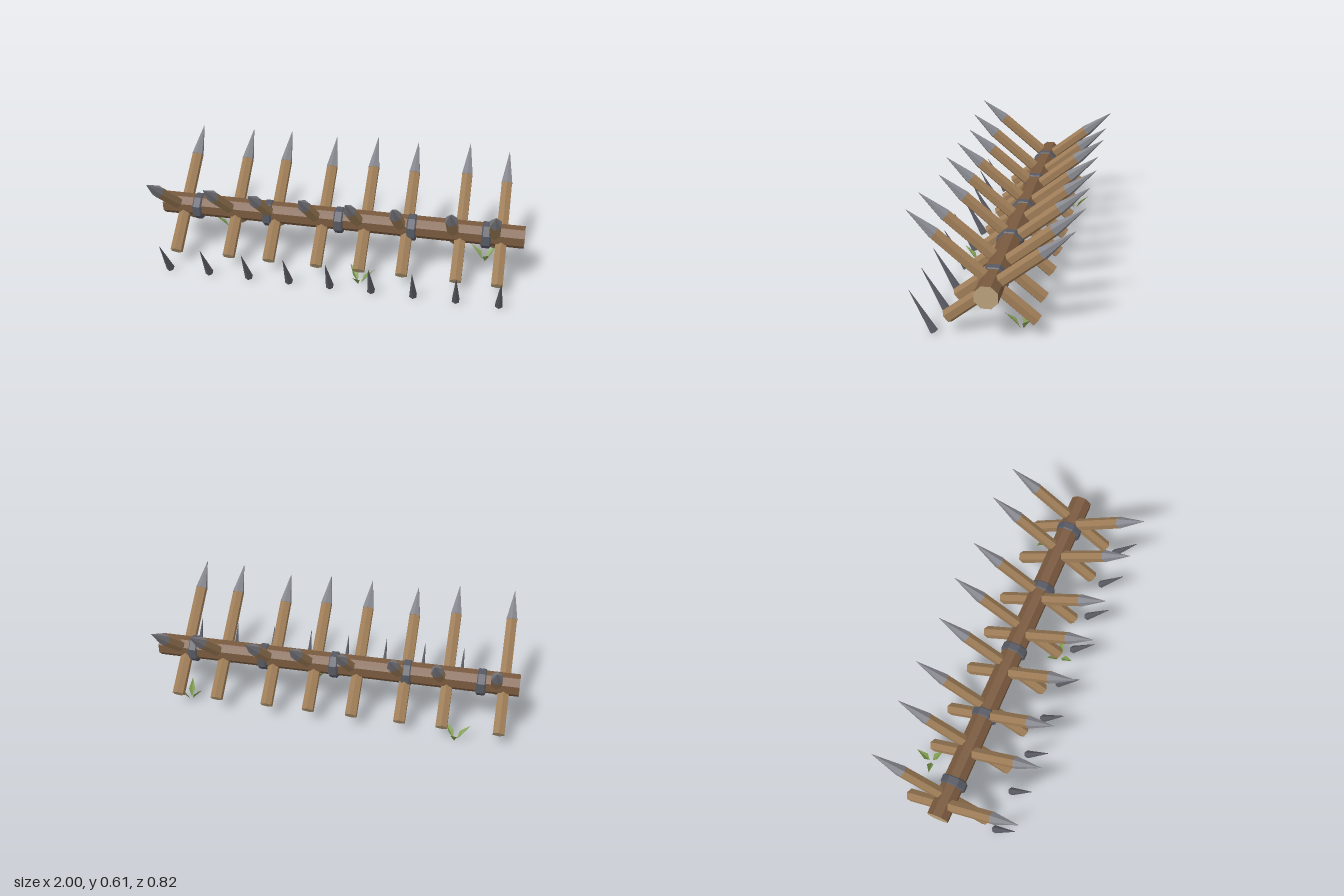
import * as THREE from 'three';

const mat = (name, color, extra = {}) => {
  const m = new THREE.MeshStandardMaterial({ color, flatShading: true, ...extra });
  m.name = name;
  return m;
};

export function createModel() {
  const beamWood = mat('dark beam wood', 0x7a5a3f);
  const stakeWood = mat('stake wood', 0x9e7d57);
  const endGrain = mat('end grain', 0xbaa27c);
  const tipSteel = mat('tip steel', 0x86868e);
  const spikeIron = mat('spike iron', 0x5c5c65);
  const bandIron = mat('band iron', 0x575963);
  const grass = mat('grass', 0x7f9c4f, { side: THREE.DoubleSide });

  const root = new THREE.Group();
  root.name = 'spikedBarricade';
  const UP = new THREE.Vector3(0, 1, 0);
  const add = (name, geo, material, parent = root) => {
    const m = new THREE.Mesh(geo, material);
    m.name = name;
    parent.add(m);
    return m;
  };

  // Tapered round part running from point a to point b
  const rod = (name, a, b, rA, rB, sides, material, parent, open = false) => {
    const dir = b.clone().sub(a);
    const m = add(name, new THREE.CylinderGeometry(rB, rA, dir.length(), sides, 1, open), material, parent);
    m.position.copy(a).add(b).multiplyScalar(0.5);
    m.quaternion.setFromUnitVectors(UP, dir.normalize());
    return m;
  };

  // Main beam, octagonal with pale ends
  const beam = add('beam', new THREE.CylinderGeometry(0.061, 0.061, 2, 8, 1, false, Math.PI / 8),
    [beamWood, endGrain, endGrain]);
  beam.rotation.z = Math.PI / 2;
  beam.position.set(0, 0.269, -0.008);

  // Chamfered iron bands around the beam
  const bandProfile = [[0.055, -0.026], [0.064, -0.026], [0.073, -0.018],
    [0.073, 0.018], [0.064, 0.026], [0.055, 0.026]].map(p => new THREE.Vector2(...p));
  const bandGeo = new THREE.LatheGeometry(bandProfile, 8, Math.PI / 8);
  for (const x of [-0.8, -0.4, 0, 0.4, 0.8]) {
    const band = add('ironBand', bandGeo, bandIron);
    band.rotation.z = Math.PI / 2;
    band.position.set(x, 0.263, -0.006);
  }

  // Crossed stakes: position across, then height and depth of the steel point
  const stake = (name, [x, y, z], foot, tipLength) => {
    const g = new THREE.Group();
    g.name = name;
    root.add(g);
    const tip = new THREE.Vector3(x, y, z);
    const base = new THREE.Vector3(x, foot[0], foot[1]);
    const neck = tip.clone().lerp(base, tipLength / tip.distanceTo(base));
    rod('shaft', base, neck, 0.035, 0.032, 6, [stakeWood, endGrain, endGrain], g);
    rod('steelTip', neck, tip, 0.0335, 0.001, 6, tipSteel, g);
  };
  const frontTips = [[-0.92, 0.605, 0.408], [-0.62, 0.605, 0.403], [-0.395, 0.583, 0.38], [-0.133, 0.592, 0.388],
    [0.105, 0.592, 0.39], [0.337, 0.583, 0.372], [0.623, 0.6, 0.397], [0.843, 0.605, 0.395]];
  const backTips = [[-0.88, 0.575, -0.395], [-0.58, 0.575, -0.395], [-0.355, 0.58, -0.4], [-0.09, 0.573, -0.395],
    [0.145, 0.585, -0.41], [0.375, 0.58, -0.402], [0.663, 0.593, -0.414], [0.88, 0.573, -0.393]];
  frontTips.forEach(t => stake('frontStake', t, [0.087, -0.217], 0.17));
  backTips.forEach(t => stake('backStake', t, [0.087, 0.207], 0.19));

  // Row of small iron spikes in the ground, leaning forward
  for (let i = -4; i <= 4; i++) {
    const x = i * 0.225;
    rod('groundSpike', new THREE.Vector3(x, 0.011, 0.268), new THREE.Vector3(x, 0.222, 0.384),
      0.022, 0.001, 6, spikeIron);
  }

  // Folded leaf: root, two side corners, raised keel and a pointed tip
  const leafGeo = new THREE.BufferGeometry();
  leafGeo.setAttribute('position', new THREE.Float32BufferAttribute([
    0.01, 0.013, 0, 0.03, 0.055, 0.018, 0.03, 0.055, -0.018, 0.036, 0.045, 0, 0.085, 0.097, 0], 3));
  leafGeo.setIndex([0, 1, 3, 0, 3, 2, 1, 4, 3, 3, 4, 2]);
  leafGeo.computeVertexNormals();

  // Three-leaved grass tufts: x, z and turn
  for (const [x, z, turn] of [[-0.695, -0.21, 1.4], [0.15, 0.215, 0.25], [0.8, -0.14, 2.8]]) {
    const tuft = new THREE.Group();
    tuft.name = 'grassTuft';
    tuft.position.set(x, 0, z);
    root.add(tuft);
    for (let k = 0; k < 3; k++) {
      add('leaf', leafGeo, grass, tuft).rotation.y = turn + k * Math.PI * 2 / 3;
    }
  }
  return root;
}
